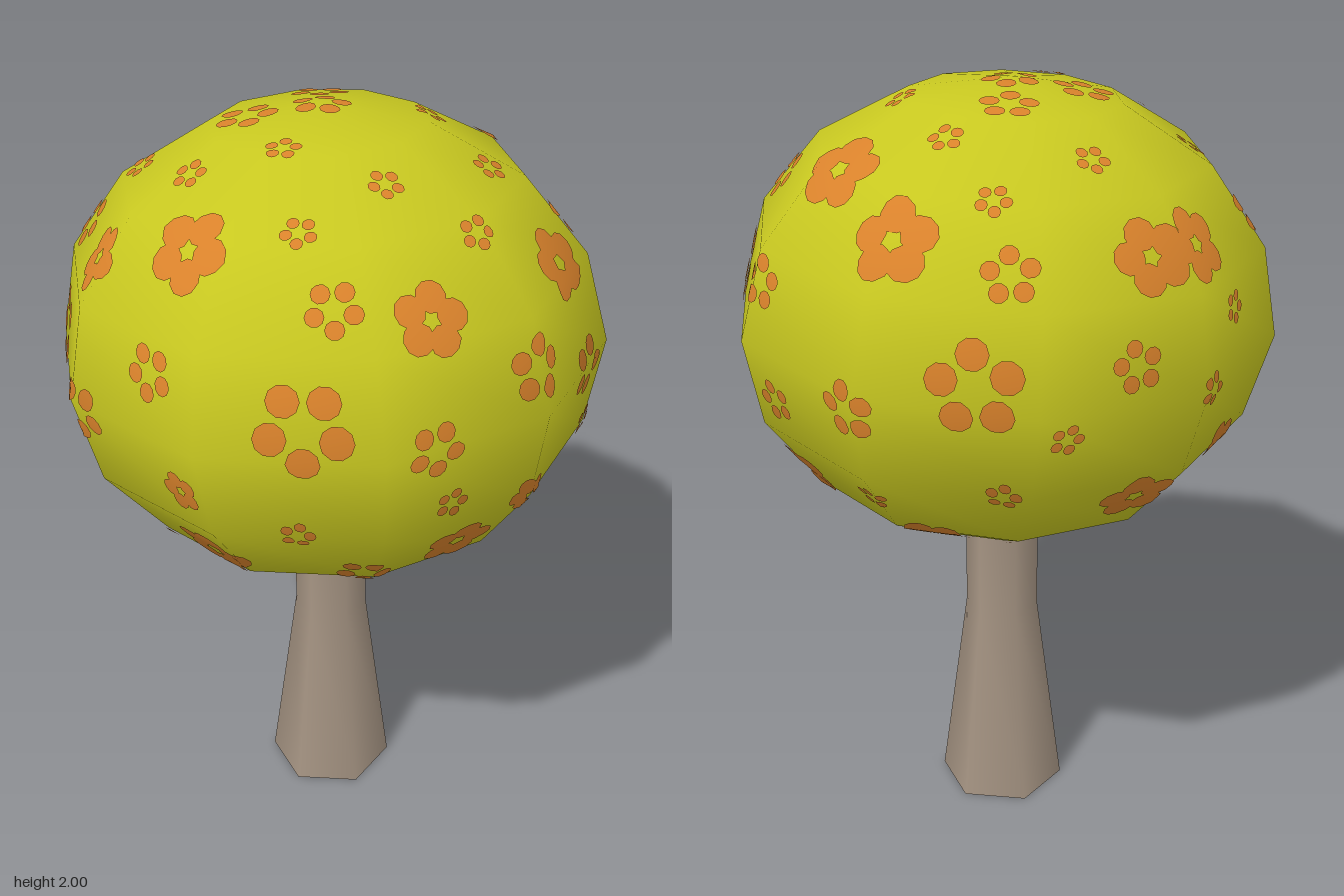
import * as THREE from 'three';
import { mergeGeometries } from 'three/addons/utils/BufferGeometryUtils.js';

const rad = THREE.MathUtils.degToRad;
const RADII = new THREE.Vector3(0.69, 0.59, 0.69);
const CROWN_Y = 1.41;

// Main blossoms: [degrees around from the front, height, radius]
const CLOSED_BLOSSOMS = [
  [-40, 1.72, 0.09], [-10, 1.815, 0.11], [52, 1.72, 0.095], [-2, 1.05, 0.11],
  [63, 1.075, 0.095], [-34, 0.96, 0.1], [58, 0.905, 0.09], [98, 1.71, 0.1],
  [87, 1.08, 0.1], [145, 1.05, 0.1], [187, 1.74, 0.11], [159, 1.84, 0.11],
  [247, 1.7, 0.1], [261, 1.7, 0.1], [247, 1.08, 0.1], [189, 0.95, 0.095],
  [275, 1.13, 0.09], [-2, 1.29, 0.058], [75, 1.22, 0.058],
];
const OPEN_BLOSSOMS = [
  [-56, 1.46, 0.115], [-31, 1.38, 0.085], [-10, 1.57, 0.075], [24, 1.51, 0.125],
  [30, 1.755, 0.07], [50, 1.44, 0.075], [38, 1.04, 0.07], [99, 1.437, 0.085],
  [121, 1.515, 0.125], [110, 1.045, 0.07], [92, 0.91, 0.115], [118, 1.755, 0.075],
  [-66, 1.7, 0.075], [75, 1.56, 0.085], [216, 1.974, 0.075], [240, 1.999, 0.075],
  [-68, 1.975, 0.08], [151, 1.58, 0.07], [214, 1.69, 0.072], [207, 1.445, 0.125],
  [181, 1.36, 0.08], [240, 1.47, 0.068], [8, 0.88, 0.07], [155, 1.285, 0.06],
];

// Point on the smooth ellipsoid, relative to the crown centre
function crownPoint([degrees, height]) {
  const y = height - CROWN_Y;
  const ring = RADII.x * Math.sqrt(1 - (y / RADII.y) ** 2);
  return new THREE.Vector3(ring * Math.sin(rad(degrees)), y, ring * Math.cos(rad(degrees)));
}

const crownNormal = (p) => p.clone().divide(RADII).divide(RADII).normalize();

// Slightly tilted, squashed ten-sided sphere
function crownGeometry() {
  const g = new THREE.SphereGeometry(1, 10, 8);
  g.rotateY(rad(-14.7));
  g.rotateZ(0.06);
  g.rotateX(-0.015);
  g.scale(RADII.x, RADII.y, RADII.z);
  return g;
}

// Returns a function that drops a point radially onto the crown's facets
function facetProjector(geometry) {
  const pos = geometry.toNonIndexed().attributes.position;
  const planes = [];
  for (let i = 0; i < pos.count; i += 3) {
    const [a, b, c] = [0, 1, 2].map((k) => new THREE.Vector3().fromBufferAttribute(pos, i + k));
    planes.push(new THREE.Plane().setFromCoplanarPoints(a, b, c));
  }
  return (p, lift) => {
    const dir = p.clone().normalize();
    let t = Infinity;
    for (const plane of planes) {
      const slope = plane.normal.dot(dir);
      if (slope > 1e-4) t = Math.min(t, -plane.constant / slope);
    }
    return dir.multiplyScalar(t + lift);
  };
}

// Five round petals wrapped over the facets
function blossomGeometry(centre, radius, open, spin, project) {
  const n = crownNormal(centre);
  const side = new THREE.Vector3(0, 1, 0).cross(n).normalize();
  const up = n.clone().cross(side);
  const reach = radius * (open ? 0.66 : 0.58);
  const size = radius * (open ? 0.33 : 0.42);
  const petals = [];
  for (let k = 0; k < 5; k++) {
    const angle = spin + (k * Math.PI * 2) / 5;
    const g = new THREE.RingGeometry(0, size, 10, 3);
    g.translate(reach * Math.cos(angle), reach * Math.sin(angle), 0);
    const pos = g.attributes.position, normal = g.attributes.normal;
    for (let i = 0; i < pos.count; i++) {
      const p = centre.clone()
        .addScaledVector(side, pos.getX(i))
        .addScaledVector(up, pos.getY(i));
      const q = project(p, 0.005);
      const m = crownNormal(q);
      pos.setXYZ(i, q.x, q.y, q.z);
      normal.setXYZ(i, m.x, m.y, m.z);
    }
    petals.push(g);
  }
  return mergeGeometries(petals);
}

// Small blossoms spread evenly in a spiral, kept only where there is room
function fillGaps(blossoms) {
  const count = 90, radius = 0.045;
  for (let i = 0; i < count; i++) {
    const height = CROWN_Y + RADII.y * (0.95 - (1.85 * i) / count);
    const centre = crownPoint([i * 137.5, height]);
    const free = blossoms.every((b) => b.centre.distanceTo(centre) > b.radius + radius + 0.06);
    if (free) blossoms.push({ centre, radius, open: true });
  }
}

export function createModel() {
  const leafMat = new THREE.MeshStandardMaterial({ name: 'leafYellowGreen', color: 0xc8c820 });
  const blossomMat = new THREE.MeshStandardMaterial({ name: 'blossomOrange', color: 0xd9822b });
  const barkMat = new THREE.MeshStandardMaterial({ name: 'barkGreyBrown', color: 0xa39281 });
  const tree = new THREE.Group();
  tree.name = 'tree';
  const add = (name, geometry, material, x, y, z) => {
    const mesh = new THREE.Mesh(geometry, material);
    mesh.name = name;
    mesh.position.set(x, y, z);
    tree.add(mesh);
  };

  // Six-sided trunk, flared below and straight above
  const profile = [[0.17, 0], [0.098, 0.56], [0.098, 0.9]].map(([r, y]) => new THREE.Vector2(r, y));
  add('trunk', new THREE.LatheGeometry(profile, 6, rad(-5)), barkMat, -0.008, 0, -0.021);
  const base = new THREE.CircleGeometry(0.17, 6, rad(95));
  base.rotateX(Math.PI / 2);
  add('trunkBase', base, barkMat, -0.008, 0, -0.021);

  // Crown
  const crown = crownGeometry();
  add('crown', crown, leafMat, 0, CROWN_Y, 0);

  // Blossoms scattered over the crown
  const describe = (open) => (spot) => ({ centre: crownPoint(spot), radius: spot[2], open });
  const blossoms = [...CLOSED_BLOSSOMS.map(describe(false)), ...OPEN_BLOSSOMS.map(describe(true))];
  fillGaps(blossoms);
  const project = facetProjector(crown);
  const flowers = blossoms.map((b, i) => blossomGeometry(b.centre, b.radius, b.open, i * 1.3, project));
  add('blossoms', mergeGeometries(flowers), blossomMat, 0, CROWN_Y, 0);
  return tree;
}
